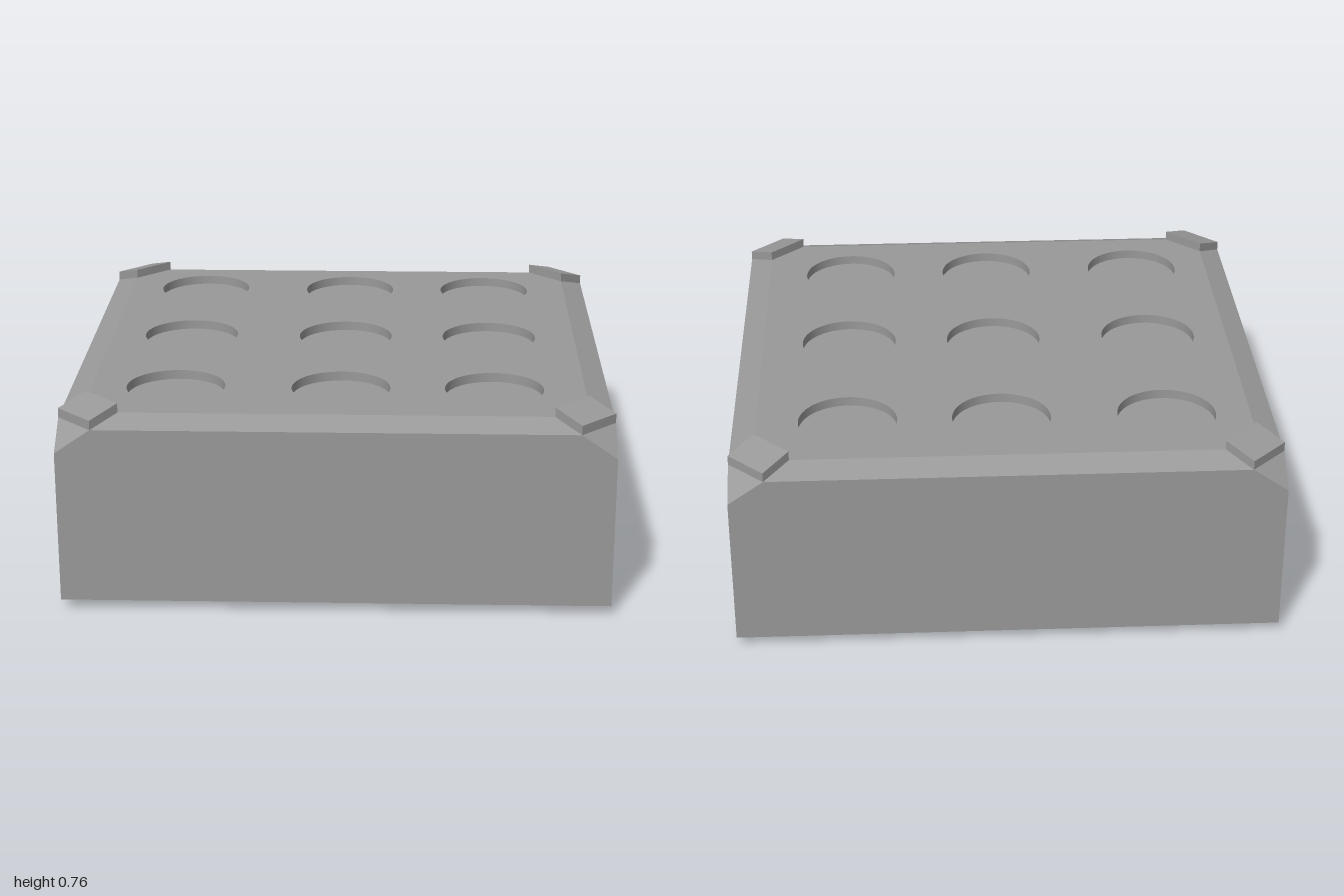
import * as THREE from 'three';

const grey = new THREE.MeshStandardMaterial({ color: 0x999999, flatShading: true });
const smooth = new THREE.MeshStandardMaterial({ color: 0x999999, side: THREE.DoubleSide });

const BEVEL_Y = 0.695, TOP = 0.73, STEP = TOP - BEVEL_Y; // top bevel start, deck height
const INSET = 0.91, CUT = 0.13;                          // bevelled half width, corner cut
const HOLE_R = 0.182;

// Square ring with cut corners, counter-clockwise seen from above
function ring(half, cut, y) {
  const points = [];
  for (let k = 0; k < 4; k++) {
    for (let [x, z] of [[half - cut, half], [half, half - cut]]) {
      for (let r = 0; r < k; r++) [x, z] = [z, -x];
      points.push(new THREE.Vector3(x, y, z));
    }
  }
  return points;
}

// Joins rings from bottom to top, with optional end caps
function loft(rings, capBottom, capTop) {
  const pos = [];
  const tri = (a, b, c) => {
    if (new THREE.Triangle(a, b, c).getArea() > 1e-6) {
      for (const p of [a, b, c]) pos.push(p.x, p.y, p.z);
    }
  };
  for (let r = 0; r + 1 < rings.length; r++) {
    const lo = rings[r], hi = rings[r + 1], n = lo.length;
    for (let i = 0; i < n; i++) {
      const j = (i + 1) % n;
      tri(lo[i], lo[j], hi[j]);
      tri(lo[i], hi[j], hi[i]);
    }
  }
  const first = rings[0], last = rings[rings.length - 1];
  for (let i = 1; i + 1 < first.length; i++) {
    if (capBottom) tri(first[0], first[i + 1], first[i]);
    if (capTop) tri(last[0], last[i], last[i + 1]);
  }
  const geo = new THREE.BufferGeometry();
  geo.setAttribute('position', new THREE.Float32BufferAttribute(pos, 3));
  geo.computeVertexNormals();
  return geo;
}

function add(parent, name, geometry, material = grey) {
  const mesh = new THREE.Mesh(geometry, material);
  mesh.name = name;
  parent.add(mesh);
  return mesh;
}

export function createModel() {
  const model = new THREE.Group();
  model.name = 'blockWithPockets';

  // Body: bevelled base, straight walls, clipped upper corners, bevelled rim
  const rim = ring(INSET, CUT, TOP);
  add(model, 'body', loft([
    ring(INSET, 0, 0),
    ring(1, 0, 0.035),
    ring(1, 0, 0.605),
    ring(1, CUT, BEVEL_Y),
    rim,
  ], true, false));

  // Deck pierced by the nine pockets
  const centres = [];
  for (const x of [-0.6, 0.01, 0.575]) {
    for (const z of [-0.635, 0, 0.62]) centres.push([x, z]);
  }
  const deck = new THREE.Shape(rim.map((p) => new THREE.Vector2(p.x, -p.z)));
  for (const [x, z] of centres) {
    deck.holes.push(new THREE.Path().absarc(x, -z, HOLE_R, 0, Math.PI * 2, true));
  }
  add(model, 'deck', new THREE.ShapeGeometry(deck, 32).rotateX(-Math.PI / 2).translate(0, TOP, 0));

  // Shallow round pockets
  const wall = new THREE.CylinderGeometry(HOLE_R, HOLE_R, STEP, 64, 1, true).translate(0, STEP / 2, 0);
  const floor = new THREE.CircleGeometry(HOLE_R, 64).rotateX(-Math.PI / 2);
  for (const [x, z] of centres) {
    const pocket = new THREE.Group();
    pocket.name = 'pocket';
    pocket.position.set(x, BEVEL_Y, z);
    add(pocket, 'pocketWall', wall, smooth);
    add(pocket, 'pocketFloor', floor, smooth);
    model.add(pocket);
  }

  // Sloping corner blocks resting on the bevel
  const outer = ring(1, CUT, BEVEL_Y);
  const base = [outer[0], outer[1], rim[1], rim[0]];
  const top = base.map((p) => p.clone().setY(p.y + STEP));
  const block = loft([base, top], true, true);
  for (let k = 0; k < 4; k++) {
    add(model, 'cornerBlock', block).rotation.y = k * Math.PI / 2;
  }

  return model;
}
